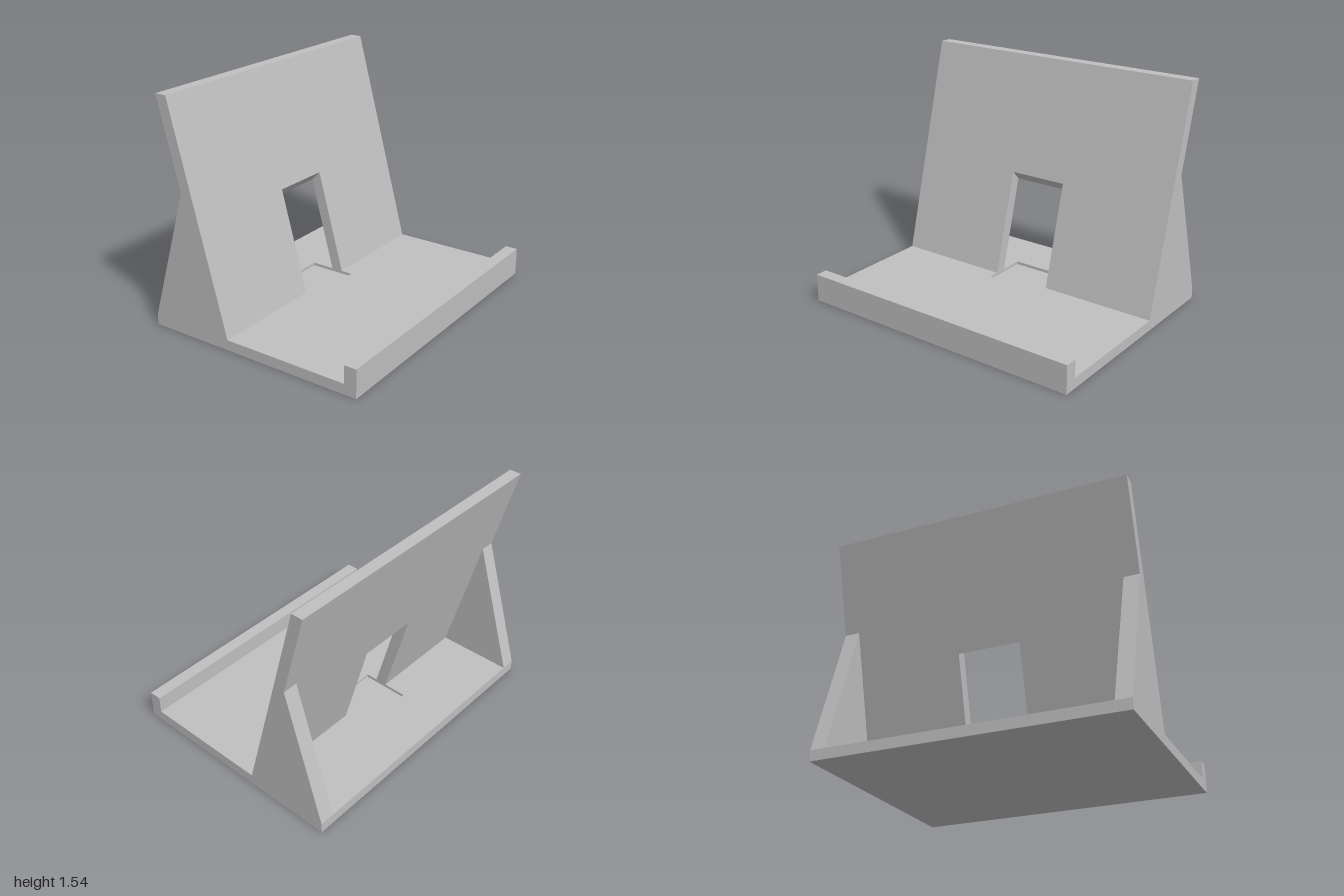
import * as THREE from 'three';

const FLOOR = 0.07;        // top of the base
const RECESS = 0.05;       // bottom of the shallow recess
const BACK = -0.77, FRONT = 0.77, LIP = 0.685;
const HOLE_L = -0.208, HOLE_R = 0.203;

const shapeOf = (pts) => new THREE.Shape(pts.map(([x, y]) => new THREE.Vector2(x, y)));
const extrude = (shape, depth) => new THREE.ExtrudeGeometry(shape, { depth, bevelEnabled: false });

export function createModel() {
  const group = new THREE.Group();
  const grey = new THREE.MeshStandardMaterial({ color: 0xbfbfbf });
  grey.name = 'grey plastic';

  const add = (name, geometry, x = 0, y = 0, z = 0) => {
    const mesh = new THREE.Mesh(geometry, grey);
    mesh.name = name;
    mesh.position.set(x, y, z);
    group.add(mesh);
  };

  // Base: solid slab with a thin layer on top that holds the recess
  const length = LIP - BACK;
  add('baseSlab', new THREE.BoxGeometry(2, RECESS, length), 0, RECESS / 2, (LIP + BACK) / 2);
  const floor = shapeOf([[-1, BACK], [1, BACK], [1, LIP], [-1, LIP]]);
  floor.holes.push(shapeOf([[HOLE_L, -0.42], [HOLE_L, -0.1], [HOLE_R, -0.1], [HOLE_R, -0.42]]));
  add('baseFloor', extrude(floor, FLOOR - RECESS).rotateX(Math.PI / 2), 0, FLOOR, 0);

  // Front lip
  add('frontLip', new THREE.BoxGeometry(2, 0.19, FRONT - LIP), 0, 0.095, (FRONT + LIP) / 2);

  // Leaning back rest with a cable opening whose top edge slopes down to the rear
  const holeTop = 0.765;
  const rest = extrude(shapeOf([
    [-1, FLOOR], [HOLE_L, FLOOR], [HOLE_L, holeTop], [HOLE_R, holeTop],
    [HOLE_R, FLOOR], [1, FLOOR], [1, 1.545], [-1, 1.545],
  ]), 1);
  const p = rest.attributes.position;
  for (let i = 0; i < p.count; i++) {
    const front = p.getZ(i) > 0.5;
    let y = p.getY(i);
    if (!front && Math.abs(y - holeTop) < 0.001) y = 0.7;
    p.setY(i, y);
    p.setZ(i, (front ? -0.18 : -0.26) - 0.268 * (y - FLOOR));
  }
  rest.computeVertexNormals();
  add('backRest', rest);

  // Triangular side braces behind the back rest
  const brace = extrude(shapeOf([[BACK, FLOOR], [-0.26, FLOOR], [-0.497, 0.955]]), 0.1).rotateY(-Math.PI / 2);
  add('leftBrace', brace, 1);
  add('rightBrace', brace, -0.9);

  return group;
}
